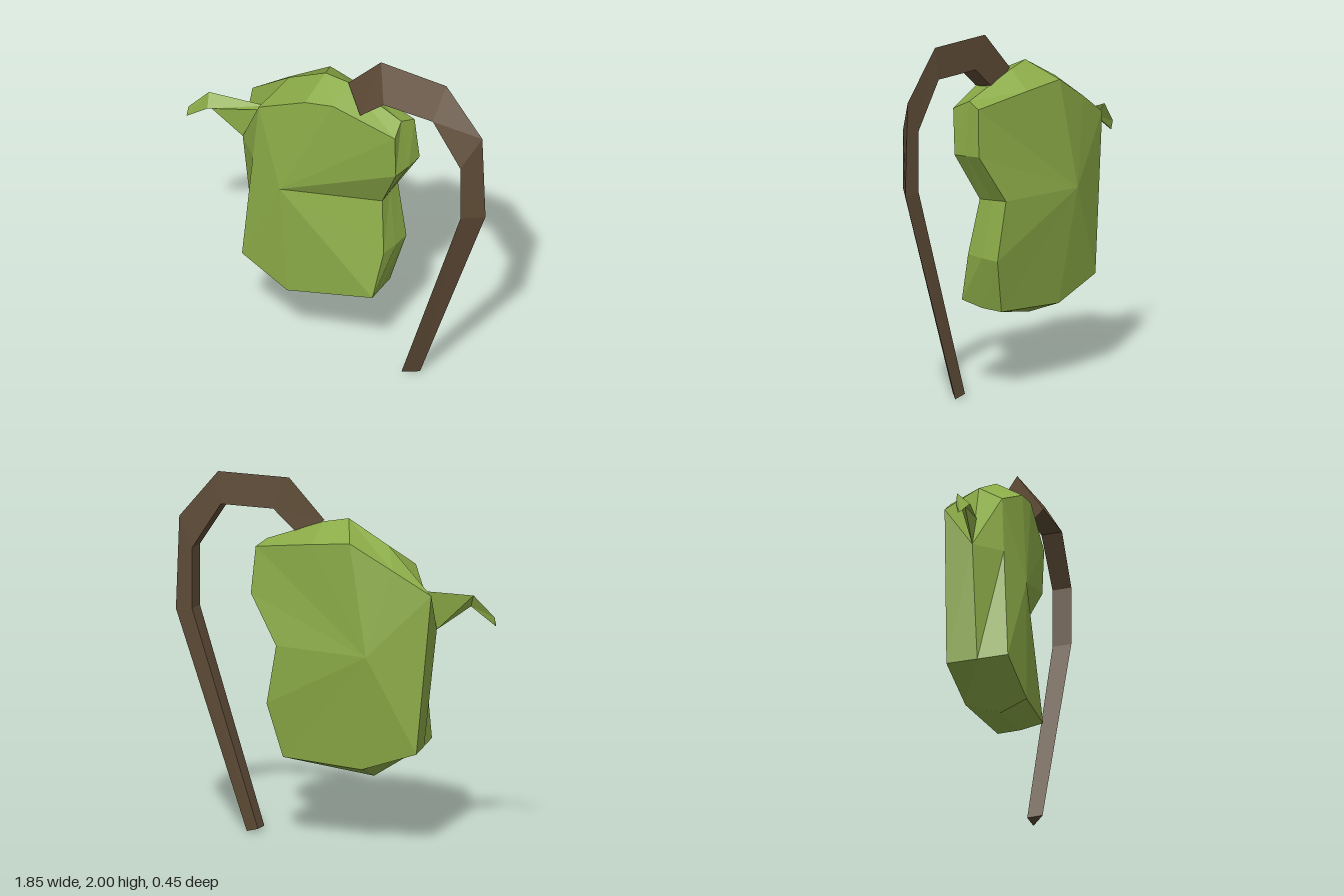
import * as THREE from 'three';

// Faceted skin over rows of points; every row is a closed loop.
function skin(name, color, rows) {
  const pos = [];
  const tri = (...pts) => pts.forEach((p) => pos.push(...p));
  const same = (p, q) => p.every((v, i) => v === q[i]);
  for (let i = 0; i < rows.length - 1; i++) {
    const n = rows[i].length;
    for (let j = 0; j < n; j++) {
      const k = (j + 1) % n;
      const a = rows[i][j], b = rows[i + 1][j], c = rows[i + 1][k], d = rows[i][k];
      if (!same(b, c)) tri(a, b, c);
      if (!same(a, d)) tri(a, c, d);
    }
  }
  const geo = new THREE.BufferGeometry();
  geo.setAttribute('position', new THREE.Float32BufferAttribute(pos, 3));
  geo.computeVertexNormals();
  const mat = new THREE.MeshStandardMaterial({ color, flatShading: true, side: THREE.DoubleSide });
  const mesh = new THREE.Mesh(geo, mat);
  mesh.name = name;
  return mesh;
}

// Row collapsed to one point
const tip = (p, n) => Array(n).fill(p);
const centre = (row) => [0, 1, 2].map((i) => row.reduce((s, p) => s + p[i], 0) / row.length);
// Rod with pointed-flat caps at both ends
const rod = (name, color, rows) => {
  const first = rows[0], last = rows[rows.length - 1], n = first.length;
  return skin(name, color, [tip(centre(first), n), ...rows, tip(centre(last), n)]);
};

export function createModel() {
  const group = new THREE.Group();
  group.name = 'beanWithStem';
  const green = 0x8bab47, brown = 0x5e4b36;

  // Bean body: front rim, middle ridge and back rim at stations around the outline
  const stations = [
    [[-0.21, 0.42, 0.21], [-0.22, 0.355, 0.06], [-0.23, 0.43, -0.14]], // bottom
    [[0.28, 0.5, 0.12], [0.25, 0.465, 0], [0.24, 0.46, -0.13]],
    [[0.31, 0.77, 0.05], [0.32, 0.765, -0.06], [0.32, 0.76, -0.17]],
    [[0.27, 1.08, 0], [0.265, 1.085, -0.09], [0.26, 1.09, -0.18]], // waist
    [[0.4, 1.34, 0.07], [0.42, 1.35, -0.03], [0.43, 1.36, -0.13]],
    [[0.4, 1.6, 0.08], [0.38, 1.65, -0.02], [0.41, 1.62, -0.11]], // shoulder
    [[0.04, 1.72, 0.14], [0.04, 1.775, -0.03], [0.06, 1.67, -0.16]],
    [[-0.13, 1.69, 0.155], [-0.1, 1.8, -0.01], [-0.18, 1.7, -0.19]], // crown
    [[-0.43, 1.54, 0.15], [-0.34, 1.67, -0.02], [-0.42, 1.56, -0.155]],
    [[-0.455, 1.21, 0.17], [-0.6, 1.21, 0.04], [-0.63, 1.43, -0.11]],
    [[-0.5, 0.56, 0.21], [-0.525, 0.55, 0.04], [-0.55, 0.54, -0.13]],
  ];
  const n = stations.length;
  const ring = (i) => stations.map((s) => s[i]);
  group.add(skin('beanBody', green, [
    tip([-0.25, 1.1, 0.225], n), ring(0), ring(1), ring(2), tip([-0.29, 1.08, -0.225], n),
  ]));

  // Stem: triangular section hooked over the shoulder; [outer x, y, inner x, y, inner front z]
  const stem = [
    [0.04, 1.78, 0.19, 1.69, 0.1],
    [0.25, 2, 0.34, 1.82, 0.1],
    [0.67, 2, 0.65, 1.82, 0.09],
    [0.9, 1.73, 0.82, 1.56, 0.08],
    [0.92, 1.21, 0.82, 1.22, 0.08],
    [0.5, 0, 0.43, 0.02, 0.06],
  ];
  group.add(rod('stem', brown, stem.map(([ox, oy, ix, iy, z]) => [
    [ox, oy, -0.02], [ix, iy, -0.03], [ix, iy, z],
  ])));

  // Leaf: drooping sprout with top, front and lower edges
  group.add(rod('leaf', green, [
    [[-0.48, 1.43, -0.01], [-0.48, 1.42, 0.02], [-0.6, 1.21, 0.04]],
    [[-0.82, 1.42, 0.035], [-0.79, 1.36, 0.1], [-0.79, 1.35, 0.07]],
    [[-0.93, 1.3, 0.07], [-0.93, 1.25, 0.09], [-0.93, 1.25, 0.08]],
  ]));

  return group;
}
